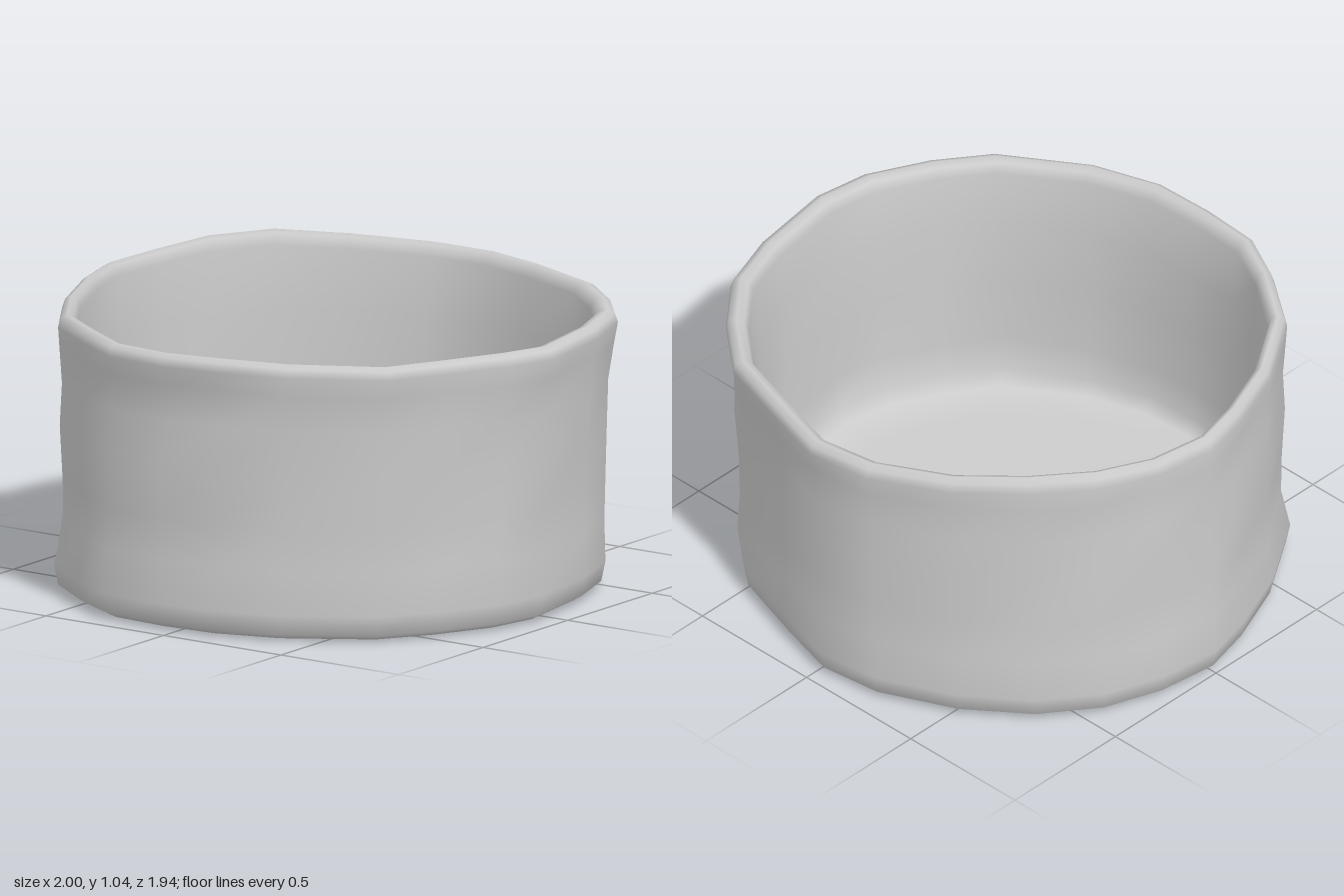
import * as THREE from 'three';

// hand-formed outline seen from above, x and z pairs running round from the back
const OUTLINE = [
  [0, -0.98], [0.25, -0.91], [0.53, -0.82], [0.72, -0.66], [0.87, -0.48], [0.95, -0.25],
  [1, 0.08], [0.96, 0.28], [0.85, 0.5], [0.72, 0.69], [0.42, 0.88], [0.17, 0.96],
  [-0.05, 0.975], [-0.28, 0.96], [-0.47, 0.86], [-0.68, 0.71], [-0.85, 0.45], [-0.95, 0.2],
  [-1, 0], [-0.97, -0.23], [-0.89, -0.45], [-0.74, -0.65], [-0.52, -0.82], [-0.24, -0.95],
];

// each ring: height, sideways shift, scale of the outline
const OUTER = [
  [0.01, -0.025, 0.8], [0.01, -0.025, 0.925], [0.03, -0.025, 0.96], [0.1, -0.025, 0.975],
  [0.25, -0.02, 0.97], [0.4, -0.015, 0.967], [0.6, -0.01, 0.974], [0.75, -0.002, 0.973],
  [0.88, 0.005, 0.982], [0.95, 0.01, 0.99], [0.98, 0.01, 0.98],
];
const INNER = [
  [0.993, 0.008, 0.955], [0.985, 0.003, 0.93], [0.95, 0, 0.915], [0.75, -0.005, 0.905],
  [0.5, -0.012, 0.9], [0.25, -0.015, 0.9], [0.13, -0.02, 0.89], [0.08, -0.02, 0.85],
  [0.07, -0.02, 0.7],
];

// Gaussian bump used for dents and the raised part of the rim
const bump = (d, width) => Math.exp(-(d * d) / (width * width));

function surfacePoint(col, [y, shift, scale], ringIndex) {
  const [ox, oz] = OUTLINE[col];
  const a = Math.atan2(ox, oz);
  const away = (target) => Math.atan2(Math.sin(a - target), Math.cos(a - target));
  let s = scale;
  if (y > 0.1 && y < 0.9) {
    // shallow uneven clay surface
    s -= 0.004 * (1 + Math.sin(col * 2.3 + ringIndex * 1.7));
    // pressed dents in the front and the front right
    s -= 0.03 * bump(away(0), 0.35) * (bump(y - 0.8, 0.1) + 0.5 * bump(y - 0.35, 0.15));
    s -= 0.025 * bump(away(-0.8), 0.35) * bump(y - 0.3, 0.13);
  }
  // rim rises at the back right and waves gently elsewhere
  const lift = y ** 4 * (0.045 * bump(away(-2.25), 0.6) + 0.005 * Math.sin(col * 1.9));
  return [ox * s + shift, y + lift, oz * s];
}

// closed skin: underside, outer wall, rim, inner wall and floor
function vesselGeometry() {
  const rings = [...OUTER, ...INNER];
  const n = OUTLINE.length;
  const positions = [];
  const index = [];
  rings.forEach((ring, r) => {
    for (let c = 0; c < n; c++) positions.push(...surfacePoint(c, ring, r));
  });
  for (let r = 0; r < rings.length - 1; r++) {
    for (let c = 0; c < n; c++) {
      const d = (c + 1) % n;
      const p = r * n + c, q = r * n + d, t = p + n, u = q + n;
      index.push(p, t, q, q, t, u);
    }
  }
  // centres of the underside and the inner floor
  const under = rings.length * n, floor = under + 1, last = (rings.length - 1) * n;
  positions.push(-0.025, 0.005, 0, -0.02, 0.065, 0);
  for (let c = 0; c < n; c++) {
    const d = (c + 1) % n;
    index.push(under, c, d, floor, last + d, last + c);
  }
  const geometry = new THREE.BufferGeometry();
  geometry.setAttribute('position', new THREE.Float32BufferAttribute(positions, 3));
  geometry.setIndex(index);
  geometry.computeVertexNormals();
  return geometry;
}

export function createModel() {
  const group = new THREE.Group();
  group.name = 'bowl';
  const material = new THREE.MeshStandardMaterial({ color: 0xcccccc });
  const vessel = new THREE.Mesh(vesselGeometry(), material);
  vessel.name = 'vessel';
  group.add(vessel);
  return group;
}
